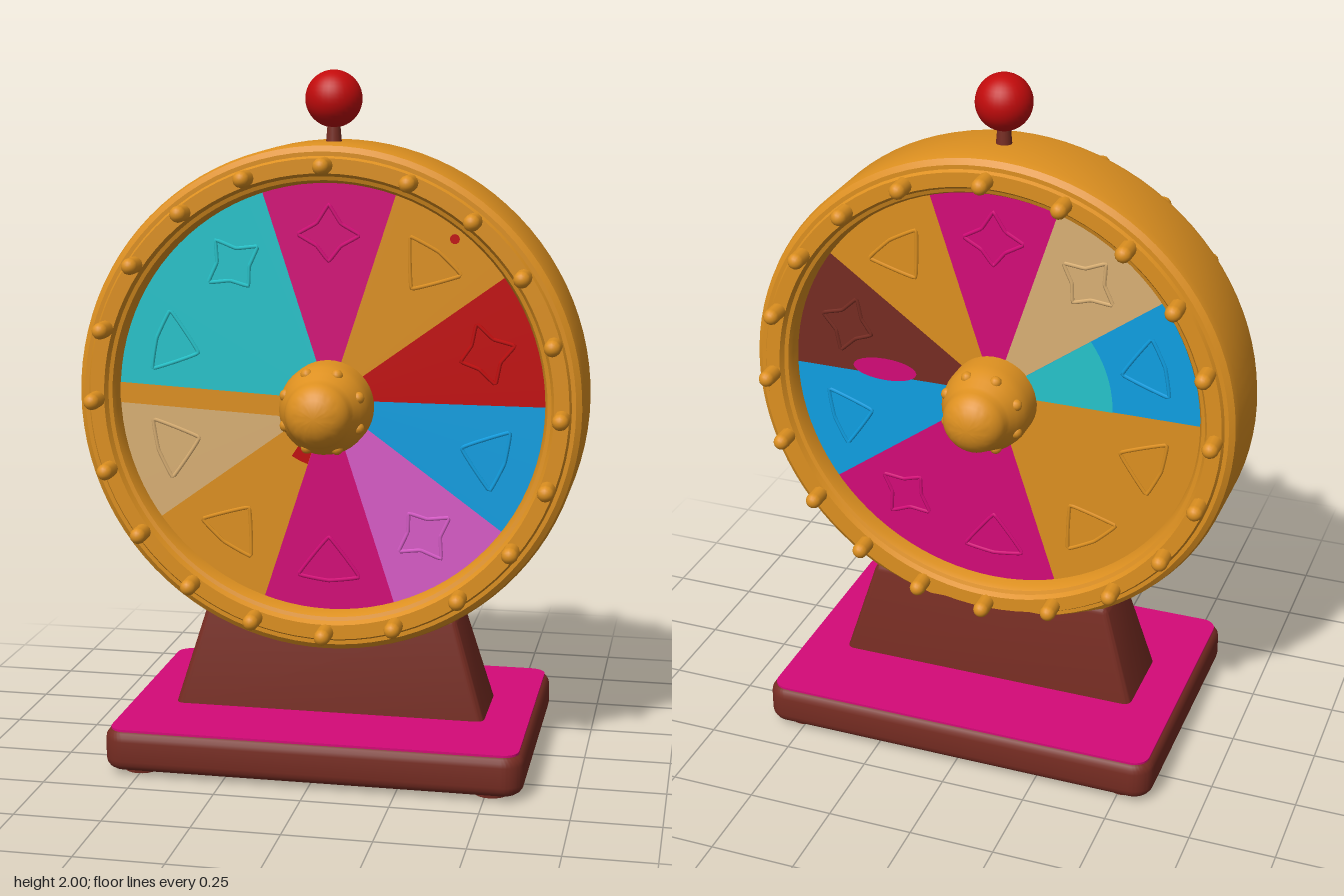
import * as THREE from 'three';
import { toCreasedNormals } from 'three/addons/utils/BufferGeometryUtils.js';
import { RoundedBoxGeometry } from 'three/addons/geometries/RoundedBoxGeometry.js';

const WHEEL_Y = 1.066, WHEEL_Z = 0.032, FACE_R = 0.632, FACE_Z = 0.08, PAINT_Z = FACE_Z + 0.003;
const HUB_Y = -0.016, CENTER_X = 0.004;
const DEG = Math.PI / 180;

function makeMaterials() {
  const colors = {
    gold: 0xdd9020, magenta: 0xd40a78, turquoise: 0x26c4cb, red: 0xc20a0b,
    blue: 0x0f9fe2, violet: 0xd85cc8, tan: 0xdab074, brown: 0x762c22,
  };
  const mats = {};
  for (const [name, color] of Object.entries(colors)) {
    mats[name] = new THREE.MeshStandardMaterial({ color });
    mats[name].name = name;
  }
  return mats;
}

function add(parent, name, geometry, material, x = 0, y = 0, z = 0) {
  const mesh = new THREE.Mesh(geometry, material);
  mesh.name = name;
  mesh.position.set(x, y, z);
  parent.add(mesh);
  return mesh;
}

// Lathe whose axis points along z
function latheZ(profile, segments) {
  const pts = profile.map(([r, z]) => new THREE.Vector2(r, z));
  return toCreasedNormals(new THREE.LatheGeometry(pts, segments).rotateX(Math.PI / 2), 0.6);
}

// Flat slab with rounded corners, lying on the xz plane and centred on y
function slab(w, d, h, radius, bevel) {
  const x = w / 2 - bevel, y = d / 2 - bevel, r = radius - bevel;
  const s = new THREE.Shape();
  s.absarc(x - r, y - r, r, 0, 90 * DEG);
  s.absarc(-x + r, y - r, r, 90 * DEG, 180 * DEG);
  s.absarc(-x + r, -y + r, r, 180 * DEG, 270 * DEG);
  s.absarc(x - r, -y + r, r, 270 * DEG, 360 * DEG);
  s.closePath();
  const g = new THREE.ExtrudeGeometry(s, {
    depth: h - 2 * bevel, bevelEnabled: bevel > 0, bevelSize: bevel,
    bevelThickness: bevel, bevelSegments: 4, curveSegments: 8,
  });
  return toCreasedNormals(g.center().rotateX(-Math.PI / 2), 0.6);
}

// Pie slice, angles in degrees clockwise from the top
function slice(a0, a1, radius) {
  return new THREE.CircleGeometry(radius, 16, (90 - a1) * DEG, (a1 - a0) * DEG);
}

// Raised outline of a four-pointed star or a triangle
function emblem(isStar) {
  const corners = isStar
    ? [[0, 0.085], [0.035, 0.032], [0.09, 0], [0.035, -0.032], [0, -0.075], [-0.035, -0.032], [-0.09, 0], [-0.035, 0.032]]
    : [[0, -0.07], [0.09, 0.045], [0, 0.06], [-0.09, 0.045]];
  const pts = corners.map(([x, y]) => new THREE.Vector3(x, y, 0));
  const curve = new THREE.CatmullRomCurve3(pts, true, 'catmullrom', 0.1);
  return new THREE.TubeGeometry(curve, 64, 0.006, 6, true);
}

// Painted face and hub of one side of the wheel, facing +z
function makeSide(name, mats, sliceColors, stars) {
  const side = new THREE.Group();
  side.name = name;
  sliceColors.forEach((color, i) => {
    const a = i * 36;
    add(side, 'slice', slice(a - 18, a + 18, FACE_R), mats[color], 0, 0, FACE_Z);
    const mark = add(side, 'emblem', emblem(stars.includes(i)), mats[color],
      0.475 * Math.sin(a * DEG), 0.475 * Math.cos(a * DEG), FACE_Z);
    mark.rotation.z = -a * DEG;
  });

  // Domed hub with a ring of studs
  const hub = [[0.132, 0.06], [0.132, 0.14], [0.126, 0.172], [0.113, 0.198], [0.1, 0.222]];
  for (let i = 0; i <= 8; i++) {
    const t = i * 90 / 8 * DEG;
    hub.push([0.095 * Math.cos(t), 0.232 + 0.075 * Math.sin(t)]);
  }
  add(side, 'hub', latheZ(hub, 40), mats.gold, 0, HUB_Y);
  const stud = new THREE.SphereGeometry(0.018, 12, 8);
  for (let i = 0; i < 8; i++) {
    const t = (i + 0.5) * 45 * DEG;
    add(side, 'hubStud', stud, mats.gold, 0.113 * Math.cos(t), HUB_Y + 0.113 * Math.sin(t), 0.182);
  }
  return side;
}

export function createModel() {
  const model = new THREE.Group();
  model.name = 'prizeWheel';
  const mats = makeMaterials();

  // Base with feet and coloured top
  add(model, 'base', slab(1.21, 0.835, 0.122, 0.06, 0.032), mats.brown, CENTER_X, 0.075, 0.003);
  add(model, 'baseTop', slab(1.18, 0.805, 0.008, 0.045, 0), mats.magenta, CENTER_X, 0.133, 0.003);
  const foot = new THREE.CylinderGeometry(0.055, 0.05, 0.03, 20);
  for (const x of [-0.51, 0.51])
    for (const z of [-0.33, 0.33]) add(model, 'foot', foot, mats.brown, CENTER_X + x, 0.015, z);

  // Tapered pedestal
  const h = 0.34;
  const pedestal = new RoundedBoxGeometry(0.945, h, 0.275, 4, 0.025);
  const p = pedestal.attributes.position;
  for (let i = 0; i < p.count; i++) {
    const t = p.getY(i) / h + 0.5;
    p.setX(i, p.getX(i) * (1 - 0.22 * t));
    p.setZ(i, p.getZ(i) * (1 - 0.28 * t));
  }
  add(model, 'pedestal', toCreasedNormals(pedestal, 0.6), mats.brown, CENTER_X, 0.1 + h / 2, 0.004);

  // Wheel rim, with the same profile on both sides
  const wheel = new THREE.Group();
  wheel.name = 'wheel';
  wheel.position.set(CENTER_X, WHEEL_Y, WHEEL_Z);
  model.add(wheel);
  const half = [[0.734, 0.1], [0.728, 0.122], [0.712, 0.134], [0.7, 0.134], [0.694, 0.144],
    [0.652, 0.144], [0.643, 0.13], [0.632, 0.126], [0.624, 0.11], [0.62, FACE_Z - 0.01]];
  const back = half.map(([r, z]) => [r, -z]).reverse();
  add(wheel, 'rim', latheZ([...back, ...half], 96), mats.gold);

  // Pegs on both sides of the rim, a little wider apart at the top
  const peg = new THREE.CapsuleGeometry(0.024, 0.065, 5, 12).rotateX(Math.PI / 2);
  const angles = [0];
  for (let i = 0; i < 10; i++) angles.push(21 + i * 17.65);
  for (let i = 0; i < 9; i++) angles.push(-19.6 - i * 17.8);
  for (const a of angles)
    for (const z of [0.162, -0.156])
      add(wheel, 'peg', peg, mats.gold, 0.674 * Math.sin(a * DEG), 0.674 * Math.cos(a * DEG), z);

  // Front side with its small painted areas
  const front = makeSide('frontSide', mats, ['magenta', 'gold', 'red', 'blue', 'violet',
    'magenta', 'gold', 'tan', 'turquoise', 'turquoise'], [0, 2, 4, 9]);
  const strip = add(front, 'goldStrip', new THREE.PlaneGeometry(0.5, 0.06), mats.gold, -0.375, -0.01, PAINT_Z);
  strip.rotation.z = -0.05;
  add(front, 'redPatch', slice(198, 213, 0.2), mats.red, 0, 0, PAINT_Z);
  add(front, 'redDot', new THREE.CircleGeometry(0.014, 16), mats.red, 0.36, 0.47, PAINT_Z);
  wheel.add(front);

  // Back side with its small painted areas
  const rear = makeSide('backSide', mats, ['magenta', 'tan', 'blue', 'gold', 'gold',
    'magenta', 'magenta', 'blue', 'brown', 'gold'], [0, 1, 6, 8]);
  add(rear, 'turquoisePatch', slice(54, 90, 0.36), mats.turquoise, 0, 0, PAINT_Z);
  const blot = add(rear, 'magentaPatch', new THREE.CircleGeometry(0.1, 24), mats.magenta, -0.34, 0.02, PAINT_Z);
  blot.scale.y = 0.35;
  rear.rotation.y = Math.PI;
  wheel.add(rear);

  // Ball on a short stem
  add(model, 'stem', new THREE.CylinderGeometry(0.017, 0.024, 0.08, 16), mats.brown, CENTER_X, 1.825, 0.037);
  add(model, 'ball', new THREE.SphereGeometry(0.081, 32, 20), mats.red, CENTER_X, 1.919, 0.037);
  return model;
}
